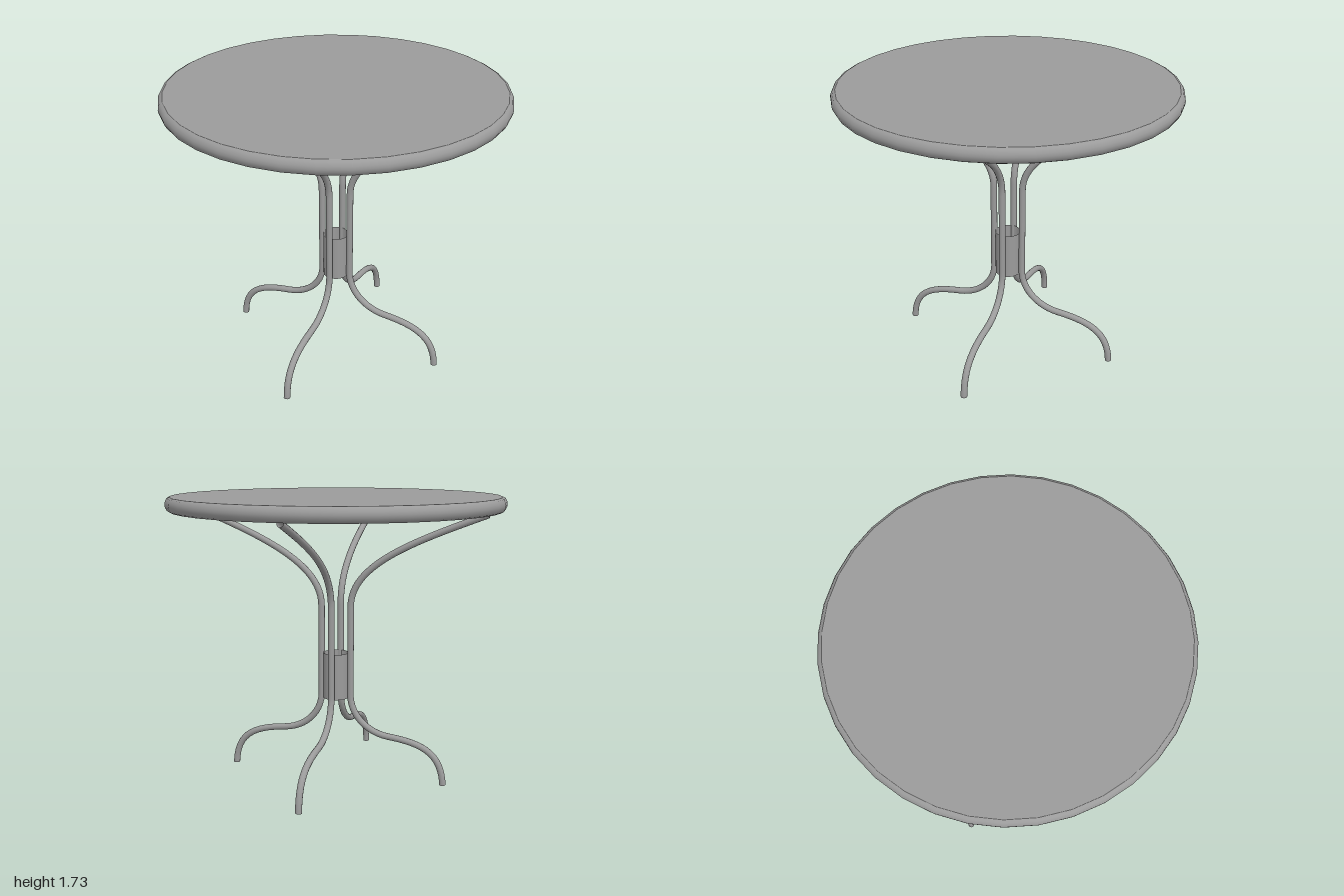
import * as THREE from 'three';

const material = new THREE.MeshStandardMaterial({ color: 0x9b9b9b });
// Open tubes show their inner walls
const openMaterial = new THREE.MeshStandardMaterial({ color: 0x9b9b9b, side: THREE.DoubleSide });
const v3 = (x, y) => new THREE.Vector3(x, y, 0);

function addMesh(parent, name, geometry, meshMaterial = material) {
  const mesh = new THREE.Mesh(geometry, meshMaterial);
  mesh.name = name;
  parent.add(mesh);
  return mesh;
}

// Round top: rolled rim closed by two flat discs
function createTabletop() {
  const top = new THREE.Group();
  top.name = 'tabletop';
  const profile = [
    [0.972, 1.648], [0.988, 1.656], [0.998, 1.675], [1, 1.69],
    [0.998, 1.706], [0.988, 1.725], [0.972, 1.733],
  ].map(([x, y]) => new THREE.Vector2(x, y));
  addMesh(top, 'rim', new THREE.LatheGeometry(profile, 36));
  const disc = new THREE.CircleGeometry(0.972, 36);
  const upper = addMesh(top, 'topSurface', disc);
  upper.rotation.x = -Math.PI / 2;
  upper.position.y = 1.733;
  const lower = addMesh(top, 'underside', disc);
  lower.rotation.x = Math.PI / 2;
  lower.position.y = 1.648;
  return top;
}

// Bent tube running from the tabletop down to the foot
function createLegGeometry() {
  const path = new THREE.CurvePath();
  path.add(new THREE.CubicBezierCurve3(v3(0.905, 1.64), v3(0.49, 1.48), v3(0.093, 1.33), v3(0.093, 1.07)));
  path.add(new THREE.LineCurve3(v3(0.093, 1.07), v3(0.093, 0.52)));
  path.add(new THREE.CubicBezierCurve3(v3(0.093, 0.52), v3(0.093, 0.4), v3(0.19, 0.288), v3(0.34, 0.273)));
  path.add(new THREE.CubicBezierCurve3(v3(0.34, 0.273), v3(0.55, 0.252), v3(0.67, 0.2), v3(0.68, 0.002)));
  return new THREE.TubeGeometry(path, 80, 0.02, 12);
}

export function createModel() {
  const table = new THREE.Group();
  table.name = 'roundTable';
  table.add(createTabletop());

  // Central open sleeve joining the legs
  const hub = addMesh(table, 'hub', new THREE.CylinderGeometry(0.077, 0.077, 0.284, 32, 1, true), openMaterial);
  hub.position.y = 0.639;

  // Four legs facing +x, -z, -x and +z
  const legGeometry = createLegGeometry();
  for (let i = 0; i < 4; i++) {
    addMesh(table, 'leg', legGeometry, openMaterial).rotation.y = (i * Math.PI) / 2;
  }
  return table;
}
